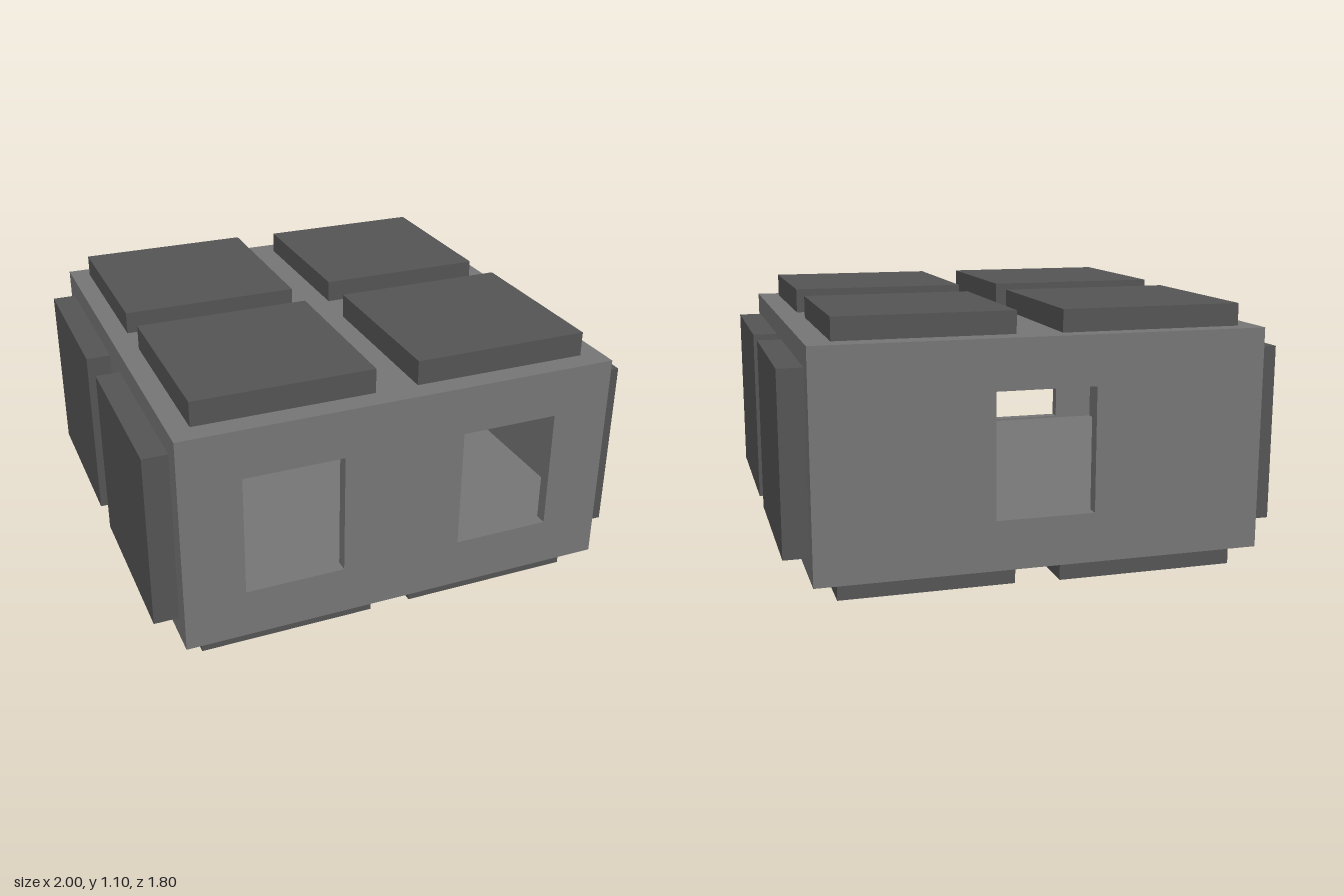
import * as THREE from 'three';

const bodyMaterial = new THREE.MeshStandardMaterial({ color: 0x777777 });
const panelMaterial = new THREE.MeshStandardMaterial({ color: 0x555555 });

// Adds a rectangle to a shape or path
function rect(path, x0, x1, y0, y1) {
  path.moveTo(x0, y0);
  path.lineTo(x1, y0);
  path.lineTo(x1, y1);
  path.lineTo(x0, y1);
  path.closePath();
  return path;
}

// Rectangular wall section with rectangular openings, extruded along z
function section(name, holes, z0, z1) {
  const shape = rect(new THREE.Shape(), -0.9, 0.9, 0.1, 1);
  for (const h of holes) shape.holes.push(rect(new THREE.Path(), ...h));
  const geometry = new THREE.ExtrudeGeometry(shape, { depth: z1 - z0, bevelEnabled: false });
  geometry.translate(0, 0, z0);
  const mesh = new THREE.Mesh(geometry, bodyMaterial);
  mesh.name = name;
  return mesh;
}

// Box given by its limits on each axis
function panel(name, [x0, x1], [y0, y1], [z0, z1]) {
  const mesh = new THREE.Mesh(new THREE.BoxGeometry(x1 - x0, y1 - y0, z1 - z0), panelMaterial);
  mesh.position.set((x0 + x1) / 2, (y0 + y1) / 2, (z0 + z1) / 2);
  mesh.name = name;
  return mesh;
}

export function createModel() {
  const model = new THREE.Group();
  model.name = 'hollowBlock';

  // Hollow body: middle sleeve, front wall with two windows, back wall with one
  const body = new THREE.Group();
  body.name = 'body';
  body.add(
    section('roomSleeve', [[-0.85, 0.85, 0.29, 0.81]], -0.85, 0.85),
    section('frontWall', [[-0.655, -0.25, 0.3, 0.8], [0.25, 0.655, 0.3, 0.8]], 0.85, 0.9),
    section('backWall', [[-0.2, 0.2, 0.3, 0.8]], -0.9, -0.85)
  );
  model.add(body);

  // Four panels on the top and four on the bottom
  const quarters = [
    { name: 'FrontRight', x: [-0.815, -0.09], z: [0.085, 0.81], rise: 0.1 },
    { name: 'FrontLeft', x: [0.085, 0.81], z: [0.085, 0.81], rise: 0.1 },
    { name: 'BackRight', x: [-0.82, -0.085], z: [-0.825, -0.085], rise: 0.09 },
    { name: 'BackLeft', x: [0.095, 0.8], z: [-0.81, -0.1], rise: 0.09 },
  ];
  for (const q of quarters) {
    model.add(panel('topPanel' + q.name, q.x, [1, 1 + q.rise], q.z));
    model.add(panel('bottomPanel' + q.name, q.x, [0.1 - q.rise, 0.1], q.z));
  }

  // Two panels on each side
  for (const [side, x] of [['Left', [0.9, 1]], ['Right', [-1, -0.9]]]) {
    model.add(panel('sidePanelFront' + side, x, [0.19, 0.91], [0.085, 0.815]));
    model.add(panel('sidePanelBack' + side, x, [0.19, 0.91], [-0.815, -0.09]));
  }
  return model;
}
